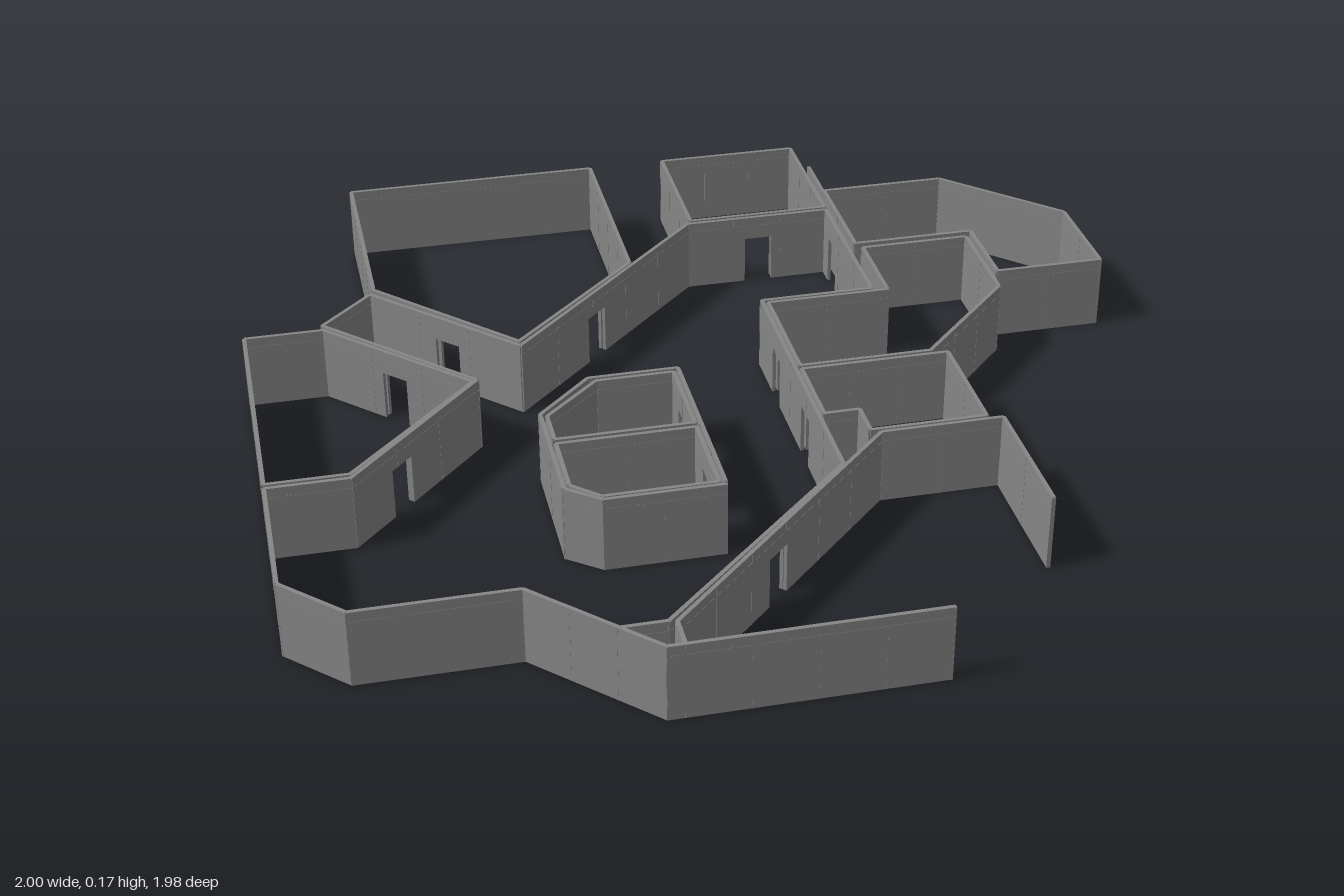
import * as THREE from 'three';
import { mergeGeometries } from 'three/addons/utils/BufferGeometryUtils.js';

const H = 0.17, T = 0.008, DOOR_H = 0.115, DOOR_W = 0.066;

// Floor plan: each wall run is a list of [x, z] corners.
const RUNS = {
  largeRoom: [[-0.4, -0.175], [-0.69, -0.48], [-0.69, -0.99], [-0.09, -0.99], [-0.09, -0.48], [-0.4, -0.175]],
  leftRoom: [[-0.995, 0.28], [-0.995, -0.32], [-0.82, -0.32], [-0.525, -0.025], [-0.82, 0.28], [-0.995, 0.28]],
  leftPassage: [[-0.515, -0.03], [-0.82, -0.34], [-0.7, -0.46], [-0.4, -0.155]],
  backRoom: [[0.095, -0.99], [0.43, -0.99], [0.43, -0.655], [0.095, -0.655], [0.095, -0.99]],
  hallBackWalls: [[-0.4, -0.155], [0.085, -0.64], [0.43, -0.64], [0.43, -0.235], [0.17, -0.235], [0.17, 0.465], [-0.29, 0.91], [-0.38, 0.91]],
  hallFrontWalls: [[-0.515, -0.03], [-0.82, 0.295], [-0.995, 0.295], [-0.995, 0.63], [-0.875, 0.75], [-0.54, 0.75], [-0.31, 0.986], [-0.275, 0.986]],
  rightRoom: [[0.453, -0.74], [0.75, -0.74], [0.993, -0.5], [0.993, -0.25], [0.74, -0.25], [0.74, -0.455], [0.453, -0.455], [0.453, -0.74]],
  centreRightRoom: [[0.465, -0.43], [0.72, -0.43], [0.72, -0.18], [0.48, 0.065], [0.182, 0.065], [0.182, -0.222], [0.465, -0.222], [0.465, -0.43]],
  smallRightRoom: [[0.182, 0.08], [0.515, 0.08], [0.515, 0.352], [0.26, 0.352], [0.26, 0.268], [0.182, 0.268], [0.182, 0.08]],
  entranceWalls: [[0.245, 0.986], [-0.275, 0.986], [-0.275, 0.915], [0.28, 0.365], [0.548, 0.365], [0.548, 0.68]],
  islandShell: [[-0.08, 0.475], [-0.08, 0.015], [-0.28, 0.015], [-0.405, 0.14], [-0.405, 0.43], [-0.335, 0.485], [-0.08, 0.485]],
  islandBackRoom: [[-0.093, 0.03], [-0.265, 0.03], [-0.392, 0.15], [-0.392, 0.243], [-0.093, 0.243], [-0.093, 0.03]],
  islandFrontRoom: [[-0.093, 0.26], [-0.392, 0.26], [-0.392, 0.42], [-0.335, 0.473], [-0.093, 0.473], [-0.093, 0.26]],
};

// Doorways cut through every wall that passes close by.
const DOORS = [[-0.2, -0.365], [-0.71, 0.175], [-0.02, 0.66], [-0.535, -0.31], [-0.67, -0.185], [0.26, -0.648],
  [0.442, -0.56], [0.176, -0.08], [0.176, 0.175], [-0.087, 0.13], [-0.087, 0.37]];

function box(w, h, d, x, y) {
  return new THREE.BoxGeometry(w, h, d).translate(x, y, 0);
}

// One straight wall: a panel with door notches, plus slim raised joints and rails.
function wall(a, b, panels, trims) {
  const dx = b[0] - a[0], dz = b[1] - a[1], L = Math.hypot(dx, dz);
  const ux = dx / L, uz = dz / L;
  const doors = DOORS.map(([x, z]) => ({
    t: (x - a[0]) * ux + (z - a[1]) * uz,
    off: Math.abs((x - a[0]) * uz - (z - a[1]) * ux),
  })).filter(d => d.off < 0.03 && d.t > 0.04 && d.t < L - 0.04).sort((p, q) => p.t - q.t);

  const s = new THREE.Shape();
  s.moveTo(0, 0);
  for (const { t } of doors) {
    s.lineTo(t - DOOR_W / 2, 0);
    s.lineTo(t - DOOR_W / 2, DOOR_H);
    s.lineTo(t + DOOR_W / 2, DOOR_H);
    s.lineTo(t + DOOR_W / 2, 0);
  }
  s.lineTo(L, 0);
  s.lineTo(L, H);
  s.lineTo(0, H);
  s.closePath();
  const place = g => g.rotateY(Math.atan2(-dz, dx)).translate(a[0], 0, a[1]);
  panels.push(place(new THREE.ExtrudeGeometry(s, { depth: T, bevelEnabled: false }).translate(0, 0, -T / 2)));

  // Top rail, picture rail and vertical panel joints
  trims.push(place(box(L, 0.003, T + 0.001, L / 2, H)));
  trims.push(place(box(L, 0.003, T + 0.001, L / 2, 0.148)));
  const n = Math.max(1, Math.round(L / 0.13));
  for (let i = 0; i <= n; i++) {
    const x = L * i / n;
    const inDoor = doors.some(d => Math.abs(x - d.t) < DOOR_W / 2 + 0.002);
    const y0 = inDoor ? DOOR_H : 0;
    trims.push(place(box(0.003, H - y0, T + 0.001, x, (H + y0) / 2)));
  }
}

export function createModel() {
  const root = new THREE.Group();
  root.name = 'floorPlanWalls';
  const wallGrey = new THREE.MeshStandardMaterial({ color: 0x868686 });
  wallGrey.name = 'wall grey';

  for (const [name, pts] of Object.entries(RUNS)) {
    const panels = [], trims = [];
    for (let i = 0; i + 1 < pts.length; i++) wall(pts[i], pts[i + 1], panels, trims);
    const group = new THREE.Group();
    group.name = name;
    const panelMesh = new THREE.Mesh(mergeGeometries(panels), wallGrey);
    panelMesh.name = 'wallPanels';
    const trimMesh = new THREE.Mesh(mergeGeometries(trims), wallGrey);
    trimMesh.name = 'wallJoints';
    group.add(panelMesh, trimMesh);
    root.add(group);
  }

  // Overhead panel projecting behind the right room
  const header = new THREE.Mesh(new THREE.BoxGeometry(T, 0.04, 0.15).translate(0.453, 0.145, -0.815), wallGrey);
  header.name = 'overheadPanel';
  root.add(header);
  return root;
}
